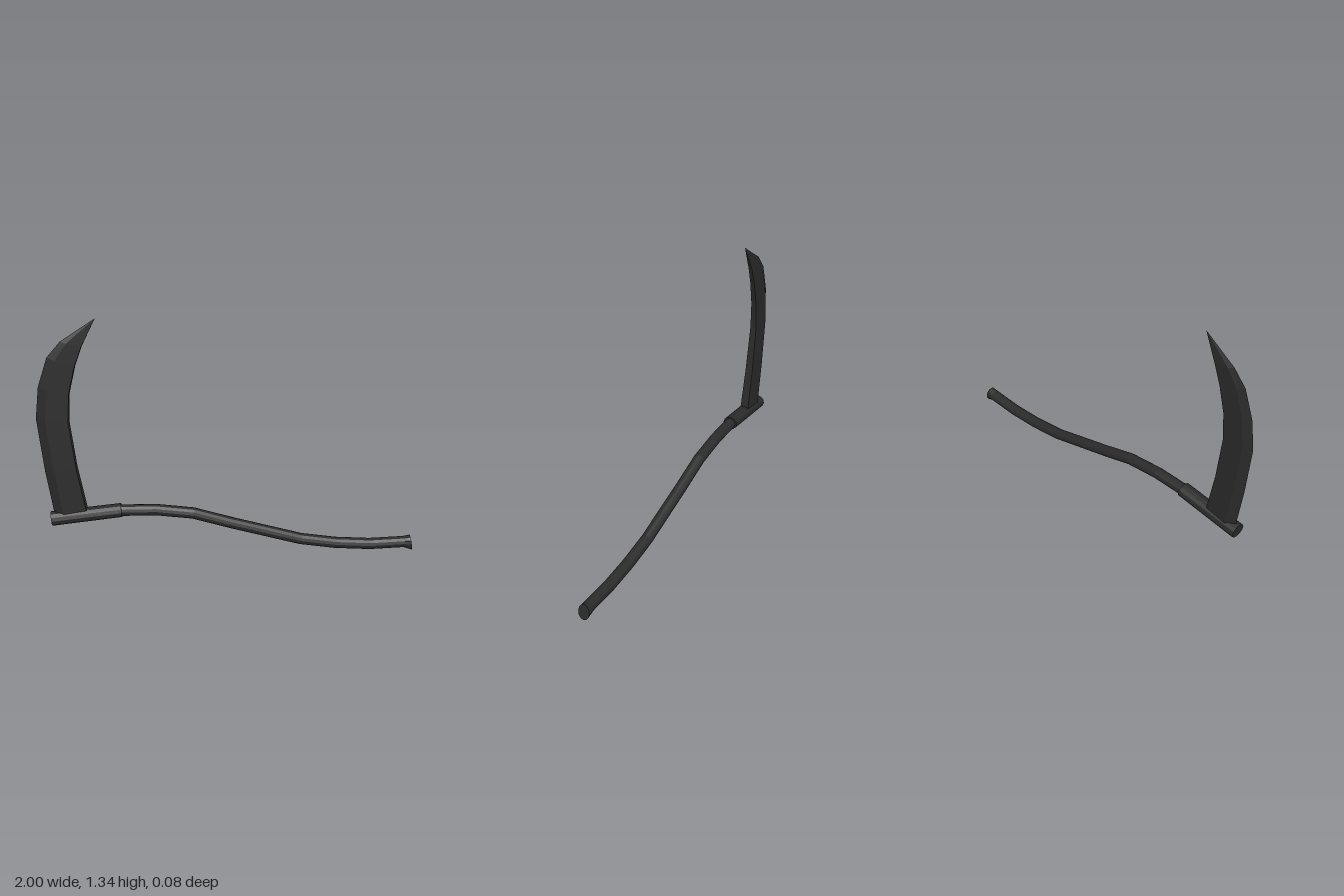
import * as THREE from 'three';

// Flat-faceted skin over closed cross-sections, with both ends capped
function loft(rings) {
  const pos = [];
  const tri = (a, b, c) => pos.push(...a, ...b, ...c);
  const n = rings[0].length;
  const centre = (r) => [0, 1, 2].map((k) => r.reduce((s, p) => s + p[k], 0) / n);
  const first = rings[0], last = rings[rings.length - 1];
  const c0 = centre(first), c1 = centre(last);
  for (let i = 0; i < n; i++) {
    const j = (i + 1) % n;
    for (let r = 0; r < rings.length - 1; r++) {
      const a = rings[r], b = rings[r + 1];
      tri(a[i], a[j], b[j]);
      tri(a[i], b[j], b[i]);
    }
    tri(c0, first[j], first[i]);
    tri(c1, last[i], last[j]);
  }
  const g = new THREE.BufferGeometry();
  g.setAttribute('position', new THREE.Float32BufferAttribute(pos, 3));
  g.computeVertexNormals();
  return g;
}

// Elliptical ring around a point of the shaft, tilted to its slope
function ring(x, y, slope, ry, rz, sides) {
  return Array.from({ length: sides }, (_, i) => {
    const a = (i / sides) * Math.PI * 2;
    const h = Math.cos(a) * ry;
    return [x - Math.sin(slope) * h, y + Math.cos(slope) * h, Math.sin(a) * rz];
  });
}

export function createModel() {
  const group = new THREE.Group();
  const darkIron = new THREE.MeshStandardMaterial({ color: 0x2b2b2b });
  const add = (name, geometry) => {
    const mesh = new THREE.Mesh(geometry, darkIron);
    mesh.name = name;
    group.add(mesh);
  };

  // Curved shaft: x, y, slope, vertical radius; the last ring is the flared butt
  const shaft = [
    [-0.62, 0.293, 0.06, 0.03], [-0.4, 0.29, -0.07, 0.03], [-0.2, 0.263, -0.22, 0.03],
    [0, 0.2, -0.3, 0.03], [0.38, 0.09, -0.24, 0.03], [0.57, 0.06, -0.12, 0.03],
    [0.76, 0.046, -0.01, 0.03], [0.945, 0.051, 0.02, 0.03], [0.988, 0.046, 0.17, 0.044],
  ];
  add('handle', loft(shaft.map(([x, y, s, r]) => ring(x, y, s, r, 0.032, 12))));

  // Sleeve that holds the blade
  add('socket', loft([
    ring(-0.95, 0.257, 0.11, 0.038, 0.042, 12),
    ring(-0.58, 0.294, 0.09, 0.036, 0.042, 12),
  ]));

  // Blade stations: outer x, y, inner x, y, front z, back z
  const stations = [
    [-0.93, 0.26, -0.755, 0.28, 0.029, -0.03],
    [-0.97, 0.53, -0.802, 0.54, 0.022, -0.03],
    [-1.0, 0.82, -0.832, 0.8, 0.014, -0.03],
    [-0.98, 0.99, -0.822, 0.95, 0.008, -0.03],
    [-0.928, 1.144, -0.788, 1.09, 0.002, -0.03],
    [-0.858, 1.224, -0.75, 1.195, -0.003, -0.029],
    [-0.68, 1.34, -0.679, 1.339, -0.0155, -0.0165],
  ];
  // Section: keen outer edge, ridges near it, blunt inner side
  add('blade', loft(stations.map(([ox, oy, ix, iy, zf, zb]) => {
    const at = (t, z) => [ox + (ix - ox) * t, oy + (iy - oy) * t, z];
    const mid = (zf + zb) / 2, half = (zf - zb) / 2;
    return [
      at(0.28, zf), at(0.97, mid + half * 0.85), at(1, mid - half * 0.85),
      at(0.28, zb), at(0, mid),
    ];
  })));

  return group;
}
